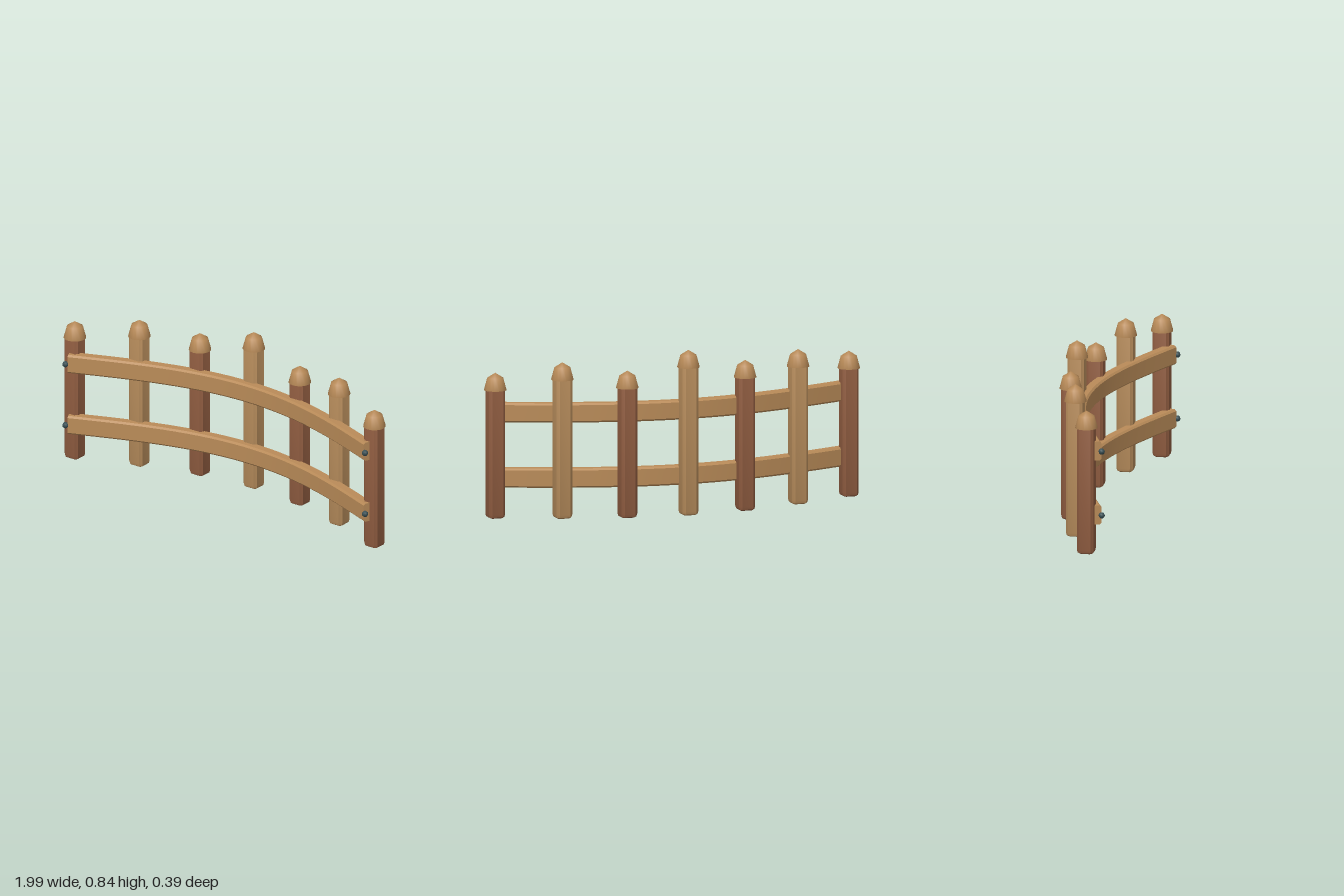
import * as THREE from 'three';
import { mergeGeometries, toCreasedNormals } from 'three/addons/utils/BufferGeometryUtils.js';

const HALF = 0.94; // distance from the middle post to an end post
const bow = (x) => 0.241 * (1 - Math.cos((Math.PI * x) / (2 * HALF)));
const bowSlope = (x) => 0.241 * (Math.PI / (2 * HALF)) * Math.sin((Math.PI * x) / (2 * HALF));

const mat = (name, color) => {
  const m = new THREE.MeshStandardMaterial({ color });
  m.name = name;
  return m;
};

// Rectangle with cut corners
function chamferedRect(w, h, c) {
  const a = w / 2, b = h / 2;
  return new THREE.Shape([
    [a, -b + c], [a, b - c], [a - c, b], [-a + c, b],
    [-a, b - c], [-a, -b + c], [-a + c, -b], [a - c, -b],
  ].map(([x, y]) => new THREE.Vector2(x, y)));
}

// Square post standing on y = 0, with chamfered ends
function postGeometry(height) {
  const bevel = 0.013, lip = 0.02;
  const g = new THREE.ExtrudeGeometry(chamferedRect(0.085 - 2 * bevel, 0.085 - 2 * bevel, 0.006), {
    depth: height - 2 * lip, bevelEnabled: true, bevelThickness: lip, bevelSize: bevel, bevelSegments: 2,
  });
  g.translate(0, 0, lip);
  g.rotateX(-Math.PI / 2);
  return toCreasedNormals(g, 0.35);
}

// Faceted dome with a closed underside
function capGeometry() {
  const dome = new THREE.SphereGeometry(0.057, 16, 2, 0, Math.PI * 2, 0, Math.PI / 2);
  dome.scale(1, 0.0875 / 0.057, 1);
  const base = new THREE.CircleGeometry(0.057, 16);
  base.rotateX(Math.PI / 2);
  return mergeGeometries([dome, base]);
}

// Straight chamfered beam, bent along the bow of the fence
function railGeometry() {
  const length = 2 * HALF;
  const g = new THREE.ExtrudeGeometry(chamferedRect(0.058, 0.098, 0.009), {
    depth: length, steps: 28, bevelEnabled: false,
  });
  g.translate(0, 0, -length / 2);
  g.rotateY(Math.PI / 2);
  const p = g.attributes.position;
  for (let i = 0; i < p.count; i++) {
    const x = p.getX(i), offset = p.getZ(i), slope = bowSlope(x);
    const n = Math.hypot(1, slope);
    p.setX(i, x - (offset * slope) / n);
    p.setZ(i, -0.09 + bow(x) + offset / n);
  }
  return toCreasedNormals(g, 0.4);
}

export function createModel() {
  const fence = new THREE.Group();
  fence.name = 'curvedFence';
  const redWood = mat('reddish wood', 0x8f5c40);
  const tanWood = mat('tan wood', 0xb48a5a);
  const paleWood = mat('light wood', 0xb98b58);
  const iron = mat('dark iron', 0x3a5055);

  const add = (name, geometry, material, x = 0, y = 0, z = 0) => {
    const mesh = new THREE.Mesh(geometry, material);
    mesh.name = name;
    mesh.position.set(x, y, z);
    fence.add(mesh);
    return mesh;
  };

  // Posts and caps, from the right end to the left end
  const cap = capGeometry();
  [0.648, 0.695, 0.673, 0.748, 0.656, 0.702, 0.648].forEach((height, i) => {
    const x = ((i - 3) * HALF) / 3;
    const z = -0.138 + bow(x);
    add('post', postGeometry(height + 0.02), i % 2 ? tanWood : redWood, x, 0, z);
    add('postCap', cap, paleWood, x, height, z);
  });

  // Two curved rails, bolted at both ends
  const rail = railGeometry();
  const bolt = new THREE.SphereGeometry(0.016, 8, 6);
  for (const y of [0.197, 0.528]) {
    add('rail', rail, paleWood, 0, y, 0);
    for (const side of [-1, 1]) add('bolt', bolt, iron, side * HALF, y, 0.181);
  }
  return fence;
}
